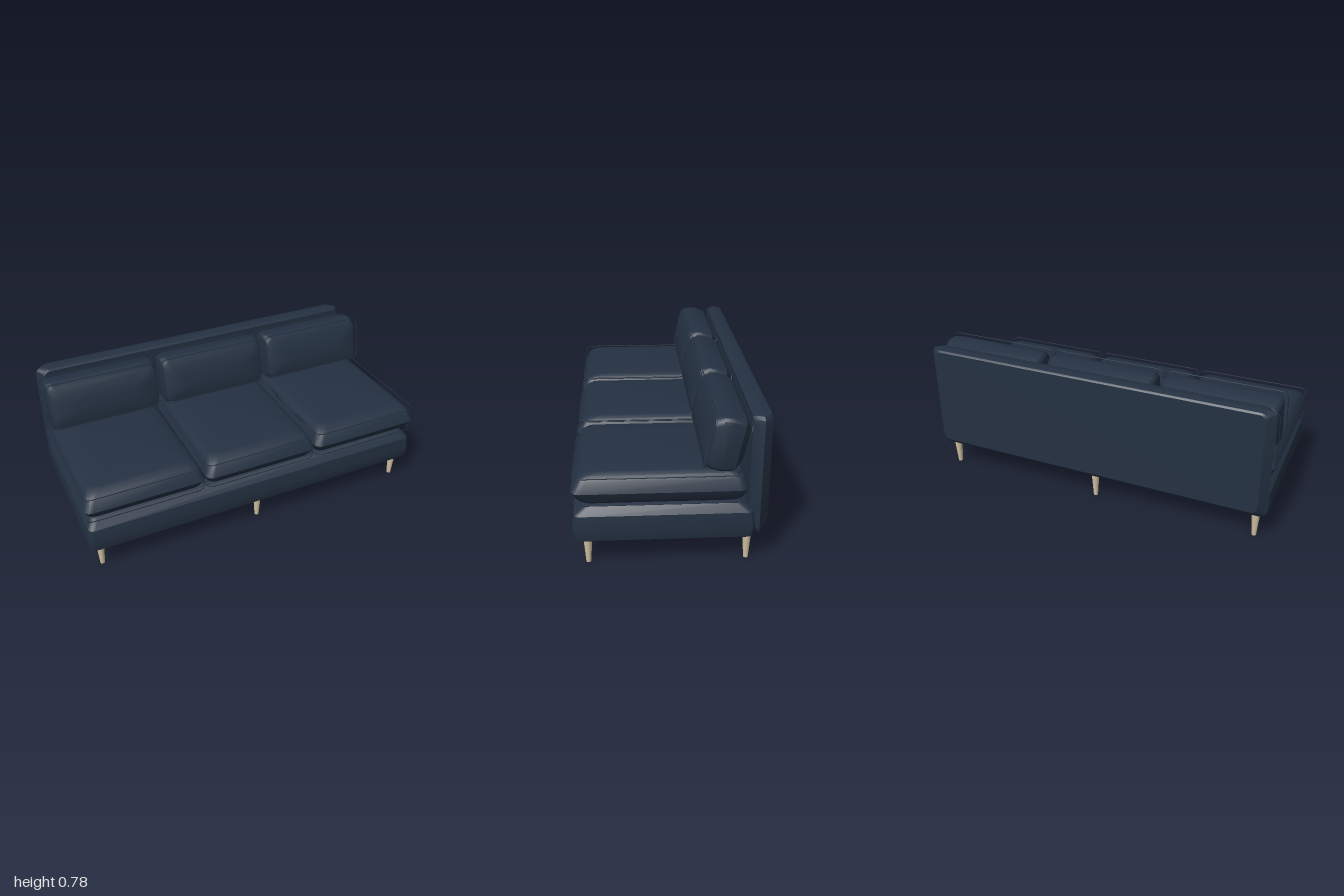
import * as THREE from 'three';
import { toCreasedNormals } from 'three/addons/utils/BufferGeometryUtils.js';

// Rounded-rectangle outline in the xz plane at height y
function outline([y, hx, z0, z1, r], steps = 3) {
  const pts = [], cz = (z0 + z1) / 2, hz = (z1 - z0) / 2;
  [[1, 1], [-1, 1], [-1, -1], [1, -1]].forEach(([sx, sz], q) => {
    for (let i = 0; i <= steps; i++) {
      const a = (q + i / steps) * Math.PI / 2;
      pts.push(new THREE.Vector3(sx * (hx - r) + r * Math.cos(a), y, cz + sz * (hz - r) + r * Math.sin(a)));
    }
  });
  return pts;
}

// Closed upholstered block lofted through layers [y, halfWidth, zMin, zMax, cornerRadius]
function loft(layers, crease = 0.5) {
  const rings = layers.map((l) => outline(l)), n = rings[0].length;
  const pos = [], index = [];
  rings.flat().forEach((p) => pos.push(p.x, p.y, p.z));
  const last = layers.length - 1, c0 = pos.length / 3;
  [layers[0], layers[last]].forEach(([y, , a, b]) => pos.push(0, y, (a + b) / 2));
  for (let i = 0; i < n; i++) {
    const j = (i + 1) % n, t = last * n;
    for (let k = 0; k < last; k++) {
      const a = k * n + i, b = k * n + j;
      index.push(a, a + n, b, b, a + n, b + n);
    }
    index.push(c0, i, j, c0 + 1, t + j, t + i);
  }
  const g = new THREE.BufferGeometry();
  g.setAttribute('position', new THREE.Float32BufferAttribute(pos, 3));
  g.setIndex(index);
  return toCreasedNormals(g.toNonIndexed(), crease);
}

// Thin cord following a rounded-rectangle outline
function cord(layer) {
  const pts = outline(layer, 4), path = new THREE.CurvePath();
  pts.forEach((p, i) => path.add(new THREE.LineCurve3(p, pts[(i + 1) % pts.length])));
  return new THREE.TubeGeometry(path, 120, 0.0025, 5, true);
}

export function createModel() {
  const fabric = new THREE.MeshStandardMaterial({ color: 0x243142 });
  fabric.name = 'navyFabric';
  const wood = new THREE.MeshStandardMaterial({ color: 0xcfc0a0 });
  wood.name = 'paleWood';
  const model = new THREE.Group();
  model.name = 'sofa';
  const add = (name, geometry, material, parent = model) => {
    const m = new THREE.Mesh(geometry, material);
    m.name = name;
    parent.add(m);
    return m;
  };

  // Base
  add('base', loft([
    [0.145, 0.975, -0.395, 0.455, 0.025],
    [0.153, 0.985, -0.402, 0.463, 0.03],
    [0.205, 0.993, -0.41, 0.472, 0.03],
    [0.285, 0.985, -0.4, 0.462, 0.03],
    [0.325, 0.955, -0.345, 0.415, 0.03],
    [0.334, 0.93, -0.32, 0.39, 0.03],
  ], 0.4), fabric);

  // Backrest, lofted from rear to front (outline z is minus height)
  const back = loft([
    [-0.47, 0.945, -0.765, -0.2, 0.035],
    [-0.462, 0.955, -0.774, -0.19, 0.04],
    [-0.425, 0.988, -0.778, -0.157, 0.04],
    [-0.39, 0.965, -0.775, -0.185, 0.04],
    [-0.375, 0.95, -0.768, -0.2, 0.035],
  ], 0.4);
  back.rotateX(Math.PI / 2);
  add('backrest', back, fabric);

  // Cushion shapes shared by the three seats
  const seatShape = loft([
    [0.334, 0.25, -0.3, 0.38, 0.04],
    [0.342, 0.29, -0.335, 0.42, 0.04],
    [0.36, 0.31, -0.35, 0.44, 0.04],
    [0.41, 0.33, -0.37, 0.47, 0.04],
    [0.468, 0.31, -0.35, 0.443, 0.04],
    [0.488, 0.292, -0.33, 0.418, 0.045],
    [0.499, 0.265, -0.28, 0.38, 0.05],
    [0.51, 0.16, -0.14, 0.22, 0.05],
    [0.515, 0.06, -0.02, 0.1, 0.03],
  ]);
  const seatCords = [0.348, 0.488].map((y) => cord([y, 0.326, -0.36, 0.46, 0.035]));
  const pillowShape = loft([
    [-0.102, 0.2, -0.03, 0.03, 0.02],
    [-0.091, 0.28, -0.09, 0.09, 0.03],
    [-0.06, 0.308, -0.131, 0.13, 0.035],
    [0, 0.32, -0.139, 0.139, 0.035],
    [0.045, 0.316, -0.134, 0.138, 0.035],
    [0.082, 0.305, -0.11, 0.13, 0.035],
    [0.096, 0.28, -0.07, 0.095, 0.035],
    [0.104, 0.18, -0.015, 0.05, 0.02],
  ]);
  const pillowCords = [-0.084, 0.084].map((d) => cord([d, 0.326, -0.13, 0.13, 0.035]));

  [-0.665, 0, 0.665].forEach((x) => {
    const seat = new THREE.Group();
    seat.name = 'seatCushion';
    seat.position.x = x;
    add('seatPad', seatShape, fabric, seat);
    seatCords.forEach((g) => add('seatPiping', g, fabric, seat));

    // Back cushion leans towards the backrest
    const pillow = new THREE.Group();
    pillow.name = 'backCushion';
    pillow.position.set(x, 0.633, -0.262);
    pillow.rotation.x = Math.PI / 2 - 0.212;
    add('backPad', pillowShape, fabric, pillow);
    pillowCords.forEach((g) => add('backPiping', g, fabric, pillow));
    model.add(seat, pillow);
  });

  // Tapered legs
  const legShape = new THREE.CylinderGeometry(0.023, 0.012, 0.148, 14);
  for (const x of [-0.925, 0, 0.925]) {
    for (const z of [0.4, -0.377]) add('leg', legShape, wood).position.set(x, 0.074, z);
  }
  return model;
}
